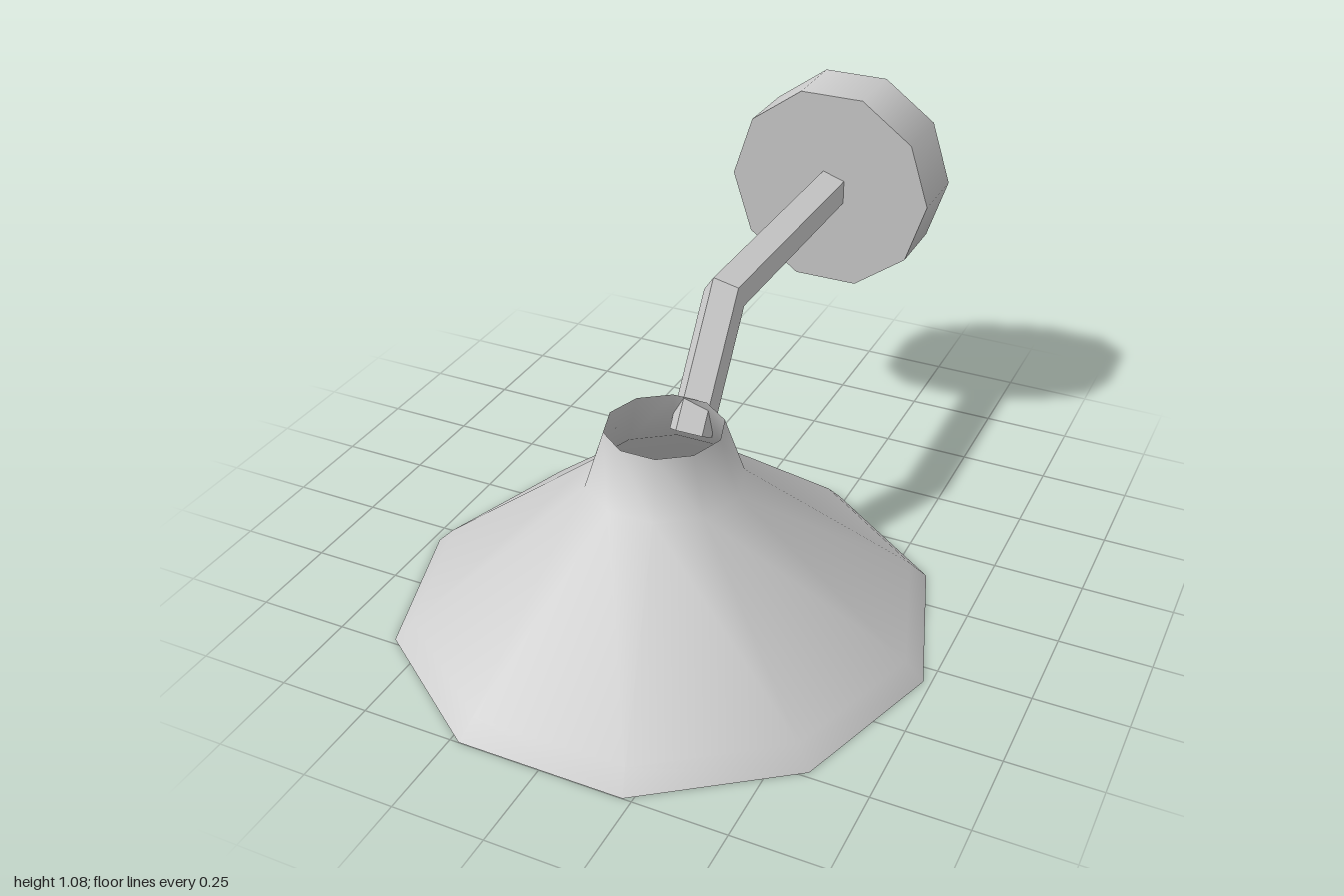
import * as THREE from 'three';

const SIDES = 10;

export function createModel() {
  const model = new THREE.Group();
  model.name = 'wallLamp';
  const grey = new THREE.MeshStandardMaterial({ color: 0xcccccc, side: THREE.DoubleSide });
  grey.name = 'light grey';

  const add = (name, geometry, parent = model) => {
    const mesh = new THREE.Mesh(geometry, grey);
    mesh.name = name;
    parent.add(mesh);
    return mesh;
  };

  // Shade: open-topped flared cone closed by a flat disc underneath
  const shade = new THREE.Group();
  shade.name = 'shade';
  shade.position.z = 0.305;
  model.add(shade);
  const profile = [[0.73, 0], [0.68, 0.05], [0.21, 0.42], [0.157, 0.578]]
    .map(([r, y]) => new THREE.Vector2(r, y));
  add('shadeCone', new THREE.LatheGeometry(profile, SIDES, Math.PI / 2), shade);
  add('shadeBottom', new THREE.CircleGeometry(0.73, SIDES).rotateX(Math.PI / 2), shade);

  // Wall mount: shallow cup, closed at the front and open at the back
  const mount = new THREE.Group();
  mount.name = 'wallMount';
  mount.position.set(0, 0.785, -0.9);
  model.add(mount);
  add('mountRim', new THREE.CylinderGeometry(0.31, 0.31, 0.2, SIDES, 1, true, Math.PI / 2)
    .rotateX(Math.PI / 2), mount);
  add('mountFace', new THREE.CircleGeometry(0.31, SIDES).translate(0, 0, 0.1), mount);

  add('arm', armGeometry());
  return model;
}

// Five-sided bent bar with a mitred elbow and a closed lower end
function armGeometry() {
  const radius = 0.06, n = 5;
  // centre y and z, then the section's up direction in y and z
  const sections = [
    [0.785, -0.8, 1, 0],
    [0.785, -0.06, 1, 0.53],
    [0.471, 0.156, 0.547, 0.837],
  ];
  const rings = sections.map(([cy, cz, uy, uz]) => Array.from({ length: n }, (_, j) => {
    const a = Math.PI + (j * 2 * Math.PI) / n;
    const h = radius * Math.sin(a);
    return [radius * Math.cos(a), cy + uy * h, cz + uz * h];
  }));

  const pos = [];
  const [, , [endY, endZ]] = sections;
  for (let j = 0; j < n; j++) {
    const k = (j + 1) % n;
    for (let i = 0; i < rings.length - 1; i++) {
      const [a, b, c, d] = [rings[i][j], rings[i][k], rings[i + 1][k], rings[i + 1][j]];
      pos.push(...a, ...b, ...c, ...a, ...c, ...d);
    }
    pos.push(0, endY, endZ, ...rings[2][j], ...rings[2][k]);
  }
  const geometry = new THREE.BufferGeometry();
  geometry.setAttribute('position', new THREE.Float32BufferAttribute(pos, 3));
  geometry.computeVertexNormals();
  return geometry;
}
